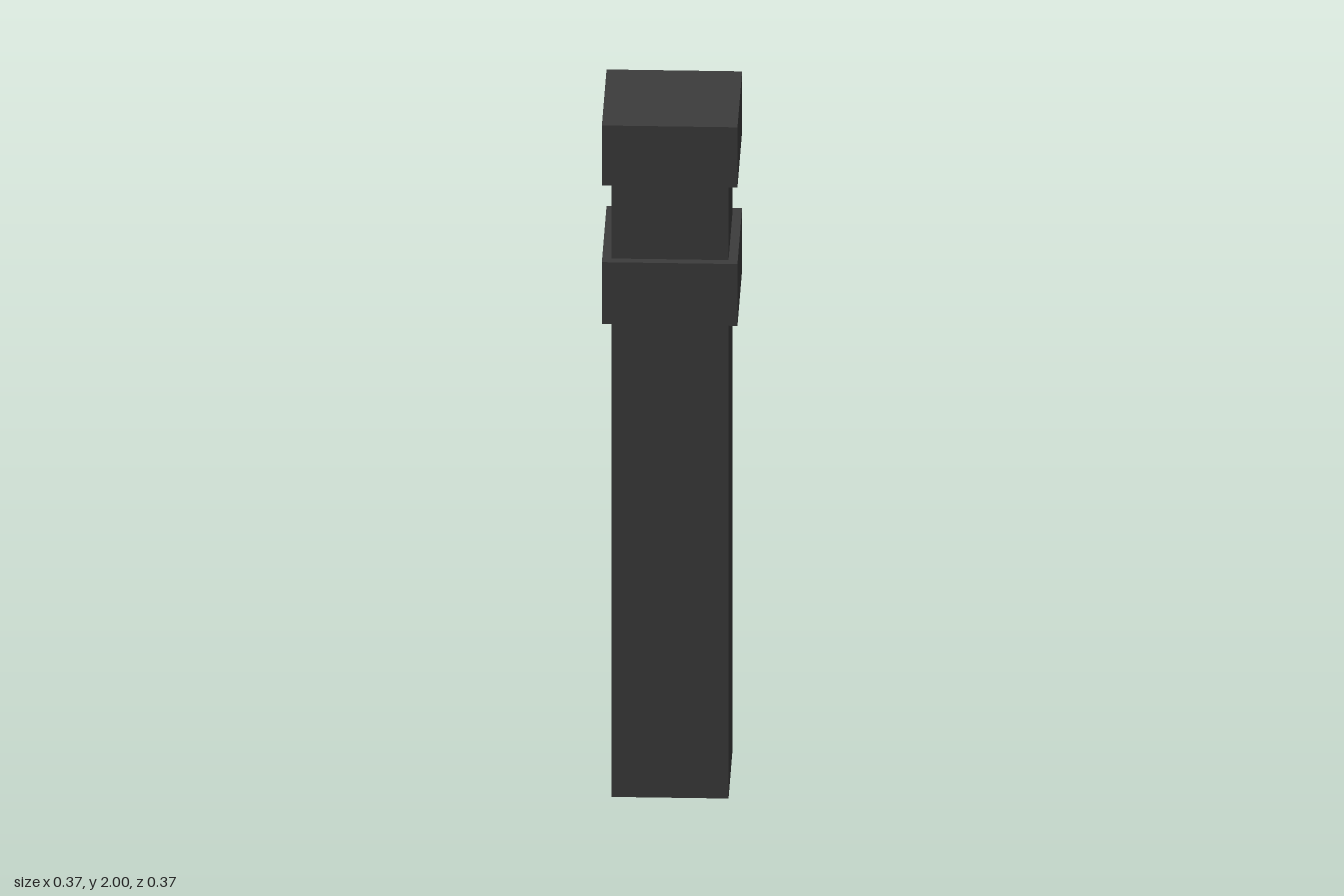
import * as THREE from 'three';

export function createModel() {
  const group = new THREE.Group();
  const material = new THREE.MeshStandardMaterial({ color: 0x3c3c3c });

  // Square block of the given width, spanning bottom to top
  const addBlock = (name, width, bottom, top) => {
    const mesh = new THREE.Mesh(new THREE.BoxGeometry(width, top - bottom, width), material);
    mesh.name = name;
    mesh.position.y = (bottom + top) / 2;
    group.add(mesh);
  };

  // Lower shaft, collar, neck and cap, stacked face to face
  addBlock('shaft', 0.316, 0, 1.412);
  addBlock('collar', 0.366, 1.412, 1.595);
  addBlock('neck', 0.316, 1.595, 1.822);
  addBlock('cap', 0.366, 1.822, 2);

  return group;
}
